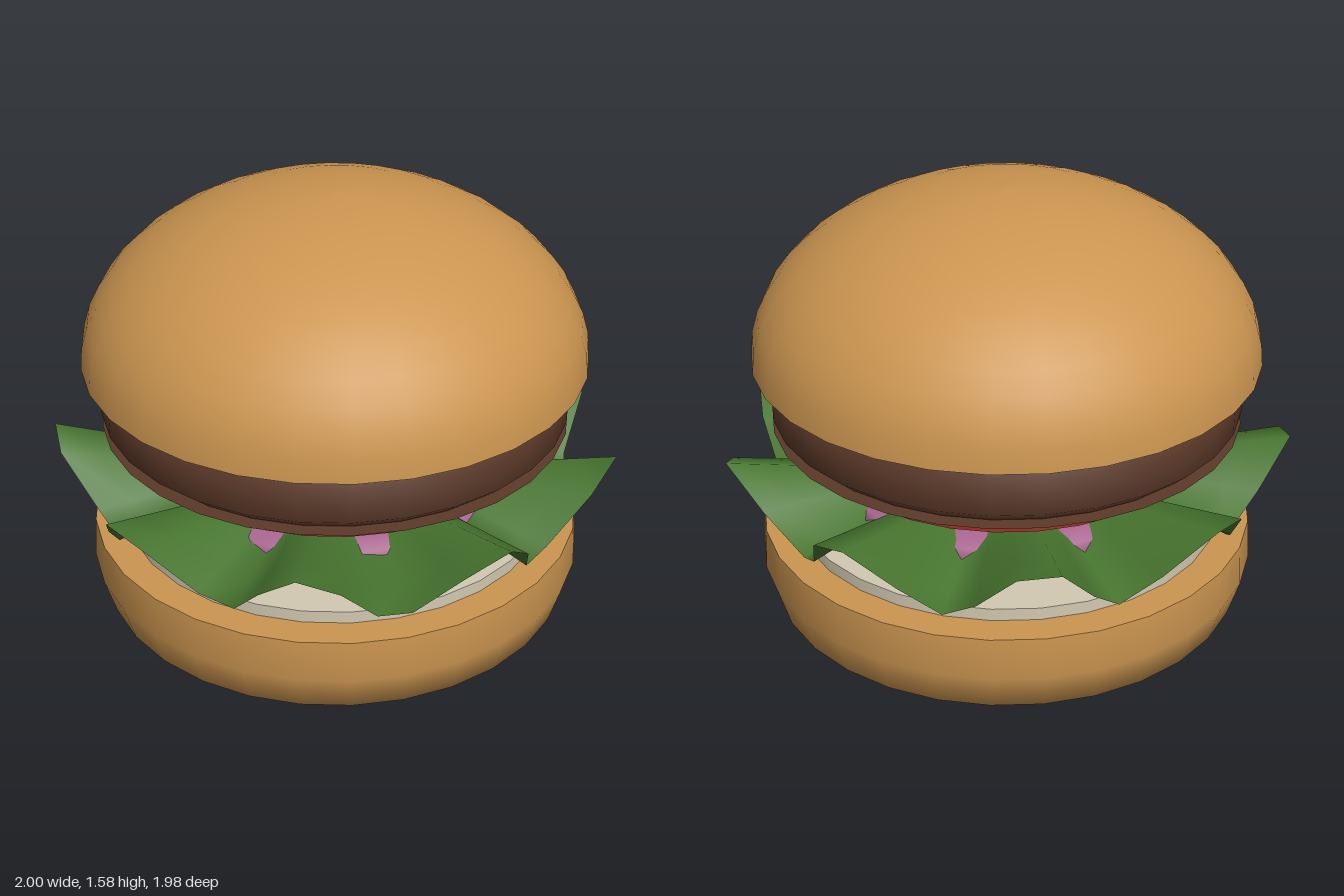
import * as THREE from 'three';
import { mergeGeometries, mergeVertices } from 'three/addons/utils/BufferGeometryUtils.js';

const BUN = 0xcb9550, PATTY = 0x5a3828, TOMATO = 0xa03226;
const LETTUCE = 0x47752f, ONION = 0xa8658f, CHEESE = 0xd2c9b2;
const SIDES = 30;

function addMesh(group, name, geometry, color, side = THREE.FrontSide) {
  const mesh = new THREE.Mesh(geometry, new THREE.MeshStandardMaterial({ color, side }));
  mesh.name = name;
  group.add(mesh);
  return mesh;
}

// Turned solid; each [r, y] stretch (bottom to top) is smooth, with sharp edges between stretches
function turned(...stretches) {
  return mergeGeometries(stretches.map((pts) =>
    new THREE.LatheGeometry(pts.map(([r, y]) => new THREE.Vector2(r, y)), SIDES, Math.PI / 2)));
}

const disc = (r, y0, y1) => turned([[0, y0], [r, y0]], [[r, y0], [r, y1]], [[r, y1], [0, y1]]);

// Round leaf whose rim waves up and down nine times
function leafGeometry() {
  let geo = new THREE.RingGeometry(0.3, 1, 44, 5);
  const pos = geo.attributes.position;
  for (let i = 0; i < pos.count; i++) {
    const x = pos.getX(i), z = -pos.getY(i);
    const t = Math.hypot(x, z);
    const wave = Math.cos(9 * Math.atan2(x, z));
    const spread = 0.925 + 0.09 * wave;
    const lift = Math.max(0, (t - 0.35) / 0.65);
    pos.setXYZ(i, x * spread, 0.555 + 0.145 * wave * lift, z * spread);
  }
  geo.deleteAttribute('uv');
  geo.deleteAttribute('normal');
  geo = mergeVertices(geo, 1e-4);
  geo.computeVertexNormals();
  return geo;
}

export function createModel() {
  const burger = new THREE.Group();
  burger.name = 'burger';

  // Bottom bun with a rounded lower edge
  addMesh(burger, 'bottomBun', turned(
    [[0, 0], [0.71, 0]],
    [[0.71, 0], [0.85, 0.075], [0.89, 0.21], [0.88, 0.36]],
    [[0.88, 0.36], [0, 0.36]]), BUN);

  addMesh(burger, 'cheeseSlice', disc(0.77, 0.36, 0.405), CHEESE);

  // Flattened onion ring that pokes through the leaf's troughs
  const onion = new THREE.TorusGeometry(0.44, 0.16, 12, SIDES);
  onion.rotateX(Math.PI / 2).scale(1, 0.41, 1).translate(0, 0.473, 0);
  addMesh(burger, 'onionRing', onion, ONION);

  addMesh(burger, 'lettuceLeaf', leafGeometry(), LETTUCE, THREE.DoubleSide);

  addMesh(burger, 'tomatoSlice', disc(0.68, 0.645, 0.745), TOMATO);

  // Patty with bevelled edges and a thin lip underneath
  addMesh(burger, 'patty', turned(
    [[0, 0.735], [0.75, 0.735]],
    [[0.75, 0.735], [0.83, 0.752]],
    [[0.83, 0.752], [0.78, 0.755]],
    [[0.78, 0.755], [0.83, 0.8], [0.83, 0.93], [0.76, 0.986]],
    [[0.76, 0.986], [0, 0.986]]), PATTY);

  // Domed top bun with a flat underside
  const dome = [];
  for (let i = 0; i <= 12; i++) {
    const a = (i / 12) * Math.PI / 2;
    dome.push([0.89 * Math.cos(a), 0.985 + 0.595 * Math.sin(a)]);
  }
  addMesh(burger, 'topBun', turned([[0, 0.985], [0.89, 0.985]], dome), BUN);

  // Offset that centres the uneven leaf rim
  burger.children.forEach((part) => { part.position.z = -0.03; });
  return burger;
}
